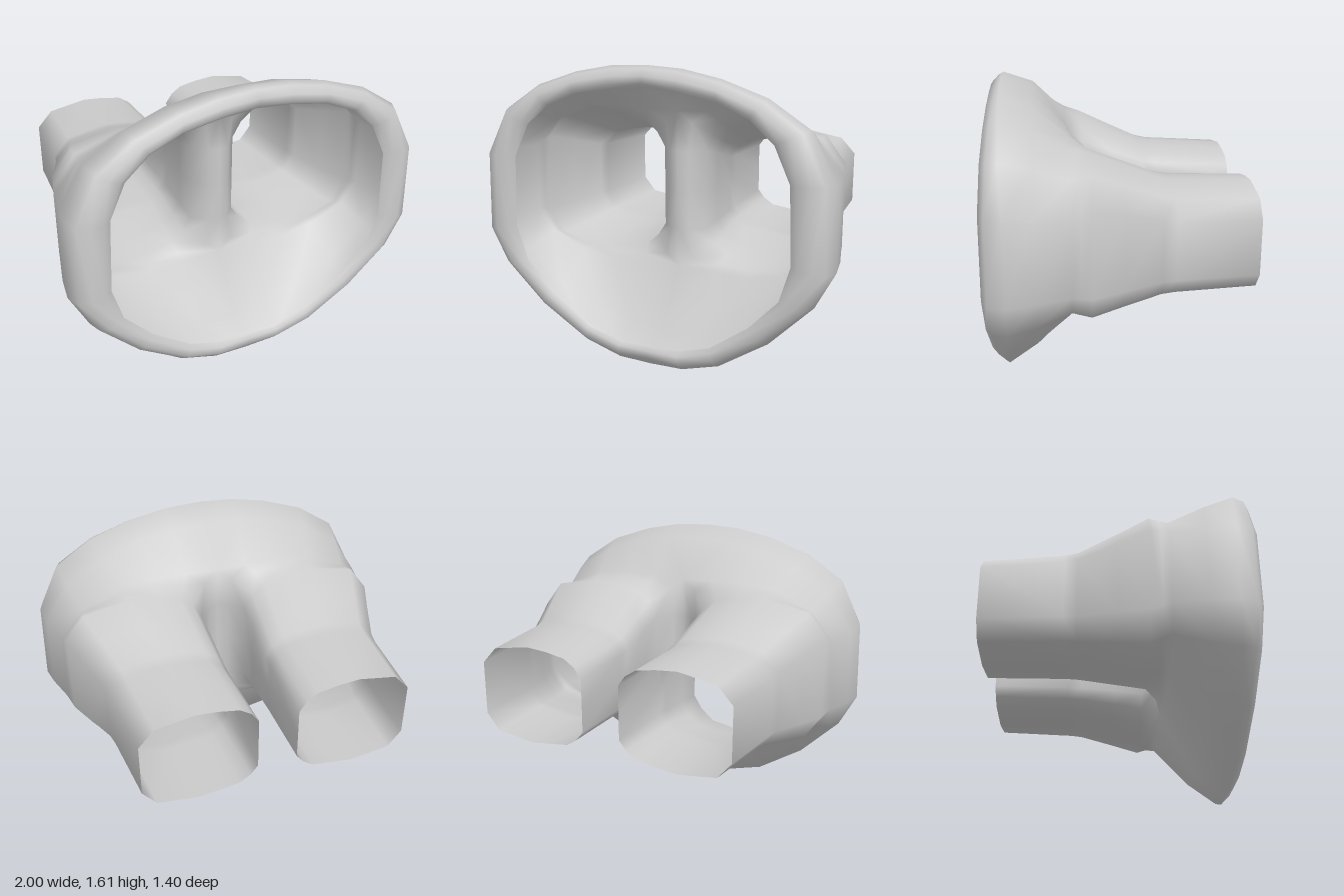
import * as THREE from 'three';
import { mergeVertices } from 'three/addons/utils/BufferGeometryUtils.js';

// Half outlines (+x side), 12 points from top centre round to bottom centre
const RIM = [[0, 1.61], [.2, 1.6], [.41, 1.56], [.65, 1.48], [.86, 1.345], [.985, 1.095],
  [1, .66], [.9, .47], [.67, .24], [.4, .065], [.19, .005], [0, 0]];
const OPENING = [[0, 1.5], [.19, 1.485], [.4, 1.45], [.57, 1.38], [.7, 1.27], [.785, 1.09],
  [.8, .69], [.74, .5], [.58, .33], [.36, .17], [.17, .11], [0, .11]];
const FLARE = [[0, 1.55], [.2, 1.545], [.4, 1.51], [.62, 1.43], [.83, 1.3], [.97, 1.08],
  [.98, .67], [.88, .5], [.67, .32], [.42, .19], [.2, .145], [0, .14]];
const FORK = [[0, 1.335], [.18, 1.34], [.36, 1.345], [.57, 1.33], [.79, 1.23], [.93, 1.07],
  [.935, .68], [.84, .56], [.63, .47], [.42, .44], [.22, .445], [0, .455]];
// Tube outline: the same 12 points, then 3 on the inner wall going up
const TUBE = [[.15, 1.04], [.21, 1.08], [.32, 1.1], [.44, 1.11], [.65, 1.075], [.735, .985],
  [.735, .69], [.66, .6], [.44, .57], [.32, .585], [.21, .6], [.15, .64],
  [.11, .69], [.11, .84], [.11, .985]];

// Tube outline fitted to the bounds x0..x1, y0..y1 at depth z
const tubeRing = (z, x0, x1, y0, y1) => TUBE.map(([x, y]) => [
  x0 + (x - .11) / .625 * (x1 - x0), y0 + (y - .57) / .54 * (y1 - y0), z]);

const mix = (a, b, t) => a.map((p, i) => p.map((v, k) => v + (b[i][k] - v) * t));

// Depth of the bowed front edge
const bow = y => .7 - .048 * ((y - .87) / .8) ** 2;

function createRings() {
  const tubes = [
    tubeRing(-.7, .11, .735, .57, 1.11),
    tubeRing(-.27, .12, .77, .56, 1.13),
    tubeRing(-.2, .12, .78, .553, 1.145),
    tubeRing(0, .125, .85, .51, 1.23),
    tubeRing(.16, .13, .91, .475, 1.3),
  ];
  // Fork ring: its inner wall lies on the middle plane
  const fork = [...FORK.map(([x, y]) => [x, y, .26]),
    [0, .67, .265], [0, .89, .265], [0, 1.11, .265]];
  const shoulder = mix(tubes[4], fork, .55);
  for (let j = 11; j < 16; j++) shoulder[j % 15][2] = .245;
  const rim = RIM.map(([x, y]) => [x, y, .57 + .035 * Math.abs(y - .8) / .8]);
  const lip = RIM.map(([x, y], i) => [x, y, i]);
  const edge = (t, dz) => mix(lip, OPENING.map(([x, y], i) => [x, y, i]), t)
    .map(([x, y]) => [x, y, bow(y) - dz]);
  return {
    closed: [...tubes, shoulder, fork],
    open: [fork.slice(0, 12), FLARE.map(([x, y]) => [x, y, .44]), rim,
      edge(.14, .03), edge(.45, 0), edge(.8, .008), edge(1, .035)],
  };
}

// Skins neighbouring rings; side -1 gives the mirrored half
function loft(rings, isClosed, side, out) {
  for (let i = 0; i < rings.length - 1; i++) {
    const n = rings[i].length;
    for (let j = 0; j < (isClosed ? n : n - 1); j++) {
      const k = (j + 1) % n;
      const a = rings[i][j], b = rings[i + 1][j], c = rings[i + 1][k], d = rings[i][k];
      const tris = side > 0 ? [a, b, c, a, c, d] : [a, c, b, a, d, c];
      for (const [x, y, z] of tris) out.push(x * side, y, z);
    }
  }
}

export function createModel() {
  const group = new THREE.Group();
  group.name = 'forkedDuct';
  const { closed, open } = createRings();
  const positions = [];
  for (const side of [1, -1]) {
    loft(closed, true, side, positions); // rear tube
    loft(open, false, side, positions); // half of the flared mouth and its lip
  }
  let geometry = new THREE.BufferGeometry();
  geometry.setAttribute('position', new THREE.Float32BufferAttribute(positions, 3));
  geometry = mergeVertices(geometry, 1e-4);
  geometry.computeVertexNormals();
  const shell = new THREE.Mesh(geometry,
    new THREE.MeshStandardMaterial({ color: 0xcccccc, side: THREE.DoubleSide }));
  shell.name = 'ductShell';
  group.add(shell);
  return group;
}
